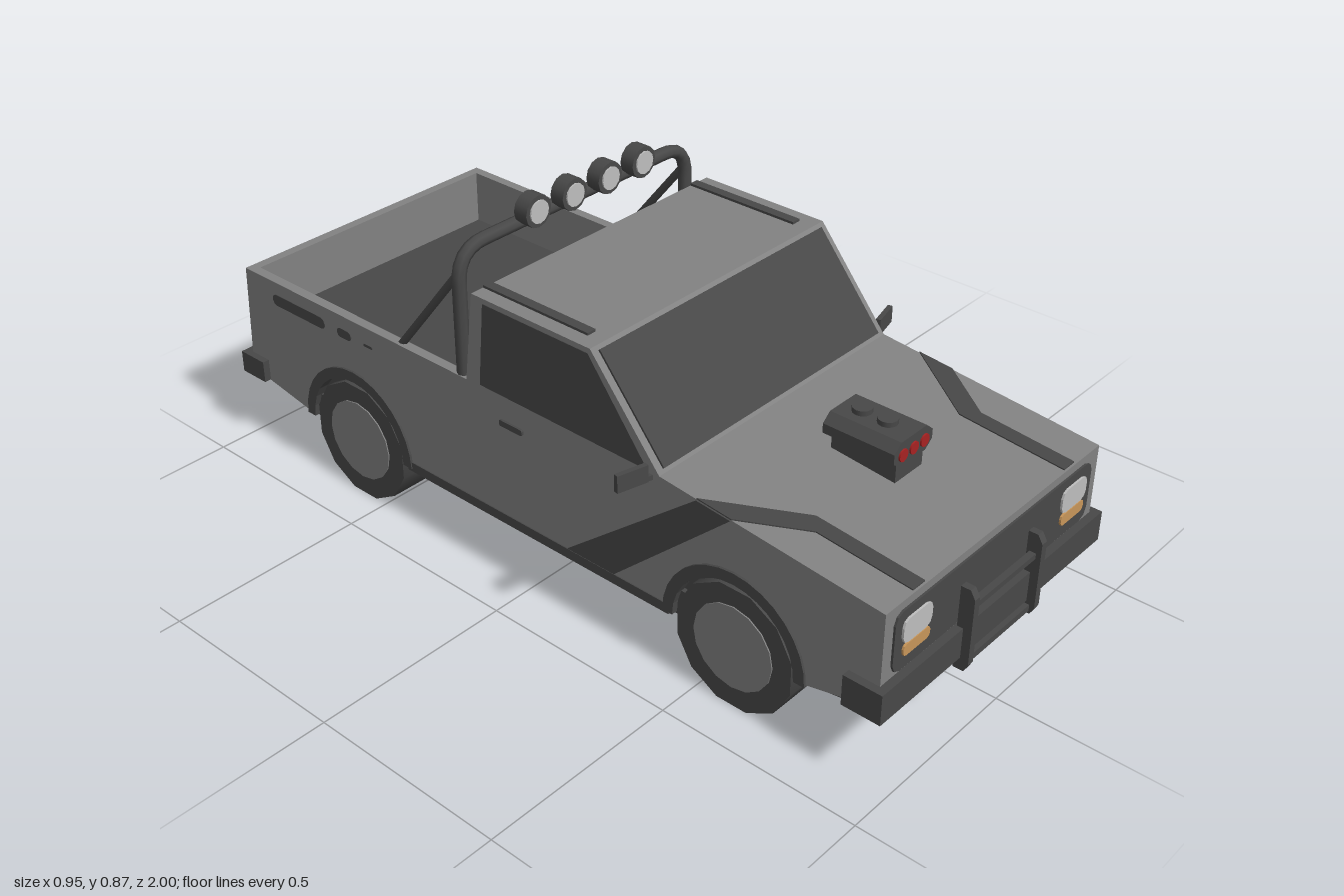
import * as THREE from 'three';

const mat = (name, color) => {
  const m = new THREE.MeshStandardMaterial({ color });
  m.name = name;
  return m;
};

export function createModel() {
  const truck = new THREE.Group();
  truck.name = 'pickupTruck';
  const paint = mat('grey paint', 0x828282);
  const dark = mat('dark trim', 0x484848);
  const lens = mat('clear lens', 0xbebebe);
  const amber = mat('amber lens', 0xc8965a);
  const red = mat('red lens', 0xa82222);

  const add = (name, geo, material) => {
    const m = new THREE.Mesh(geo, material);
    m.name = name;
    truck.add(m);
    return m;
  };
  // Box given by its limits on each axis
  const box = (name, x0, x1, y0, y1, z0, z1, material) => add(name,
    new THREE.BoxGeometry(x1 - x0, y1 - y0, z1 - z0)
      .translate((x0 + x1) / 2, (y0 + y1) / 2, (z0 + z1) / 2), material);
  const shapeOf = pts => new THREE.Shape(pts.map(p => new THREE.Vector2(p[0], p[1])));
  const extrude = (shape, depth) =>
    new THREE.ExtrudeGeometry(shape, { depth, bevelEnabled: false, curveSegments: 8 });
  // Side profile in (z, y), extruded between x0 and x1
  const side = (name, shape, x0, x1, material) => add(name,
    extrude(shape, x1 - x0).rotateY(-Math.PI / 2).translate(x1, 0, 0), material);
  // The same profile on both flanks
  const flanks = (name, shape, xIn, xOut, material) => {
    side(name + 'Left', shape, xIn, xOut, material);
    side(name + 'Right', shape, -xOut, -xIn, material);
  };
  // Thin plate lying on the sloping line a-b, given in (z, y)
  const slab = (name, a, b, x0, x1, material, t = 0.005) => {
    const dz = b[0] - a[0], dy = b[1] - a[1], l = Math.hypot(dz, dy);
    const n = [dy / l, -dz / l];
    const off = (p, k) => [p[0] + n[0] * k, p[1] + n[1] * k];
    side(name, shapeOf([off(a, -0.003), off(b, -0.003), off(b, t), off(a, t)]), x0, x1, material);
  };
  const roundRect = (x0, x1, y0, y1, c) => shapeOf([[x0 + c, y0], [x1 - c, y0], [x1 - c * 0.3, y0 + c * 0.3],
    [x1, y0 + c], [x1, y1 - c], [x1 - c * 0.3, y1 - c * 0.3], [x1 - c, y1], [x0 + c, y1],
    [x0 + c * 0.3, y1 - c * 0.3], [x0, y1 - c], [x0, y0 + c], [x0 + c * 0.3, y0 + c * 0.3]]);
  const front = (name, shape, z0, z1, material) =>
    add(name, extrude(shape, z1 - z0).translate(0, 0, z0), material);
  const disc = (name, r, x, y, z0, z1, sides, material) => add(name,
    new THREE.CylinderGeometry(r, r, z1 - z0, sides).rotateX(Math.PI / 2)
      .translate(x, y, (z0 + z1) / 2), material);

  const W = 0.39, wall = 0.365, floorY = 0.35;
  const axles = [0.595, -0.575];

  // Flank panels with round wheel openings
  const panel = new THREE.Shape();
  panel.moveTo(0.96, 0.435);
  [[0.39, 0.49], [0.2, 0.717], [-0.15, 0.717], [-0.18, 0.49], [-0.965, 0.49], [-0.98, 0.2]]
    .forEach(p => panel.lineTo(...p));
  for (const z of [-0.575, 0.595]) {
    panel.lineTo(z - 0.175, 0.16);
    panel.absarc(z, 0.16, 0.175, Math.PI, 0, true);
  }
  panel.lineTo(0.88, 0.185);
  panel.lineTo(0.96, 0.2);
  flanks('bodySide', panel, wall, W, paint);

  // Hood and cab between the flanks, then bed and tailgate
  side('cabAndHood', shapeOf([[0.96, 0.2], [0.96, 0.435], [0.39, 0.49], [0.2, 0.717],
    [-0.15, 0.717], [-0.18, 0.49], [-0.18, 0.2]]), -wall, wall, paint);
  box('bedFloor', -wall, wall, 0.19, floorY, -0.95, -0.18, dark);
  side('tailgate', shapeOf([[-0.94, 0.49], [-0.94, 0.2], [-0.98, 0.2], [-0.965, 0.49]]), -wall, wall, paint);
  side('underside', shapeOf([[0.955, 0.22], [0.955, 0.185], [0.76, 0.154], [-0.76, 0.154],
    [-0.975, 0.19], [-0.975, 0.22]]), -0.38, 0.38, dark);
  box('sills', -0.393, 0.393, 0.152, 0.177, -0.4, 0.42, dark);

  // Wheels, dark wells and arch flares
  for (const z of axles) {
    const flare = new THREE.Shape();
    flare.absarc(z, 0.16, 0.19, 0, Math.PI, false);
    flare.absarc(z, 0.16, 0.162, Math.PI, 0, true);
    flanks('archFlare', flare, 0.37, 0.396, dark);
    const well = new THREE.Shape();
    well.absarc(z, 0.16, 0.18, 0, Math.PI, false);
    flanks('wheelWell', well, 0.36, 0.368, dark);
    for (const s of [-1, 1]) {
      add('tyre', new THREE.CylinderGeometry(0.157, 0.157, 0.12, 12)
        .rotateY(Math.PI / 12).rotateZ(Math.PI / 2).translate(s * 0.33, 0.154, z), dark)
        .geometry.computeVertexNormals();
      add('hub', new THREE.CylinderGeometry(0.105, 0.105, 0.01, 16)
        .rotateZ(Math.PI / 2).translate(s * 0.388, 0.157, z), paint);
    }
  }

  // Windows
  slab('windshield', [0.384, 0.497], [0.207, 0.709], -0.372, 0.372, dark);
  slab('rearWindow', [-0.154, 0.69], [-0.176, 0.525], -0.355, 0.355, dark);
  flanks('sideWindow', shapeOf([[0.36, 0.492], [0.195, 0.705], [-0.115, 0.705], [-0.135, 0.495]]), 0.386, 0.392, dark);

  // Flank details: stripe, handle and rear markings
  flanks('sideStripe', shapeOf([[0.58, 0.47], [0.49, 0.478], [0.12, 0.175], [0.26, 0.175]]), 0.386, 0.392, dark);
  flanks('doorHandle', roundRect(-0.075, -0.005, 0.417, 0.432, 0.004), 0.386, 0.396, dark);
  flanks('rearMarkLong', roundRect(-0.865, -0.67, 0.427, 0.457, 0.014), 0.386, 0.392, dark);
  flanks('rearMarkOval', roundRect(-0.625, -0.575, 0.431, 0.455, 0.011), 0.386, 0.392, dark);
  flanks('rearMarkSmall', roundRect(-0.53, -0.5, 0.439, 0.446, 0.003), 0.386, 0.392, dark);

  for (const s of [-1, 1]) {
    // Hood stripe draped over the sloping hood
    const g = extrude(shapeOf([[0.39, 0.49], [0.255, 0.69], [0.255, 0.955], [0.295, 0.955],
      [0.295, 0.72], [0.39, 0.58]].map(([x, z]) => [s * x, -z])), 0.005).rotateX(-Math.PI / 2);
    const p = g.attributes.position;
    for (let i = 0; i < p.count; i++) p.setY(i, p.getY(i) + 0.488 - (p.getZ(i) - 0.39) * 0.0965);
    add('hoodStripe', g, dark);

    box('roofStripe', s * 0.342 - 0.012, s * 0.342 + 0.012, 0.714, 0.723, -0.15, 0.16, dark);

    // Door mirrors
    const mirror = new THREE.Group();
    mirror.name = 'mirror';
    const head = new THREE.Mesh(new THREE.BoxGeometry(0.076, 0.042, 0.012), dark);
    head.name = 'mirrorHead';
    const arm = new THREE.Mesh(new THREE.BoxGeometry(0.05, 0.012, 0.01).translate(-s * 0.04, -0.014, 0), dark);
    arm.name = 'mirrorArm';
    mirror.add(head, arm);
    mirror.position.set(s * 0.437, 0.494, 0.356);
    mirror.rotation.y = s * 0.25;
    truck.add(mirror);

    // Headlights and indicators
    const span = (a, b) => s > 0 ? [a, b] : [-b, -a];
    front('headlight', roundRect(...span(0.24, 0.337), 0.333, 0.392, 0.018), 0.955, 0.97, lens);
    front('indicator', roundRect(...span(0.243, 0.333), 0.302, 0.33, 0.01), 0.955, 0.97, amber);

    // Tail lights
    const tailZ = y => -0.965 - (0.49 - y) * 0.0517;
    [[0.425, 0.39, red], [0.39, 0.34, amber], [0.34, 0.305, red]].forEach(([t, b, m]) =>
      slab('tailLight', [tailZ(t), t], [tailZ(b), b], ...span(0.32, 0.368), m));

    // Bumper ends, bull bar posts and roll bar braces
    box('frontBumperEnd', ...span(0.38, 0.41), 0.185, 0.26, 0.885, 0.96, dark);
    box('rearBumperEnd', ...span(0.38, 0.408), 0.19, 0.247, -0.98, -0.915, dark);
    side('bullBarPost', shapeOf([[0.965, 0.155], [0.99, 0.155], [1, 0.175], [1, 0.34],
      [0.988, 0.36], [0.965, 0.36]]), s * 0.125 - 0.009, s * 0.125 + 0.009, dark);
    const brace = new THREE.LineCurve3(new THREE.Vector3(s * 0.373, 0.74, -0.205),
      new THREE.Vector3(s * 0.373, 0.48, -0.415));
    add('rollBarBrace', new THREE.TubeGeometry(brace, 1, 0.01, 8), dark);
  }

  // Front panel, bumpers and bull bar rails
  front('grille', roundRect(-0.36, 0.36, 0.268, 0.415, 0.025), 0.955, 0.965, dark);
  box('frontBumper', -0.41, 0.41, 0.185, 0.26, 0.95, 0.98, dark);
  box('rearBumper', -0.408, 0.408, 0.19, 0.247, -1, -0.965, dark);
  box('bullBarUpperRail', -0.12, 0.12, 0.298, 0.312, 0.972, 0.988, dark);
  box('bullBarLowerRail', -0.12, 0.12, 0.162, 0.178, 0.972, 0.988, dark);

  // Roll bar with rounded corners
  const v = (x, y) => new THREE.Vector3(x, y, -0.205);
  const hoop = new THREE.CurvePath();
  hoop.add(new THREE.LineCurve3(v(-0.373, floorY), v(-0.373, 0.715)));
  hoop.add(new THREE.QuadraticBezierCurve3(v(-0.373, 0.715), v(-0.373, 0.795), v(-0.295, 0.795)));
  hoop.add(new THREE.LineCurve3(v(-0.295, 0.795), v(0.295, 0.795)));
  hoop.add(new THREE.QuadraticBezierCurve3(v(0.295, 0.795), v(0.373, 0.795), v(0.373, 0.715)));
  hoop.add(new THREE.LineCurve3(v(0.373, 0.715), v(0.373, floorY)));
  add('rollBar', new THREE.TubeGeometry(hoop, 70, 0.0165, 8), dark);

  // Spot lamps on the roll bar
  for (const x of [-0.172, -0.058, 0.058, 0.172]) {
    disc('spotLamp', 0.039, x, 0.83, -0.195, -0.157, 12, dark);
    disc('spotLampLens', 0.028, x, 0.83, -0.16, -0.153, 12, lens);
  }

  // Hood intake with three red throats
  box('intakeBase', -0.048, 0.048, 0.445, 0.505, 0.57, 0.735, dark);
  front('intakeScoop', shapeOf([[-0.045, 0.497], [0.045, 0.497], [0.068, 0.515], [0.068, 0.538],
    [0.045, 0.558], [-0.045, 0.558], [-0.068, 0.538], [-0.068, 0.515]]), 0.56, 0.742, dark);
  for (const x of [-0.038, 0, 0.038]) disc('intakeThroat', 0.015, x, 0.525, 0.735, 0.746, 12, red);
  for (const z of [0.61, 0.675])
    add('intakeCap', new THREE.CylinderGeometry(0.023, 0.023, 0.014, 12).translate(0, 0.563, z), dark);

  return truck;
}
